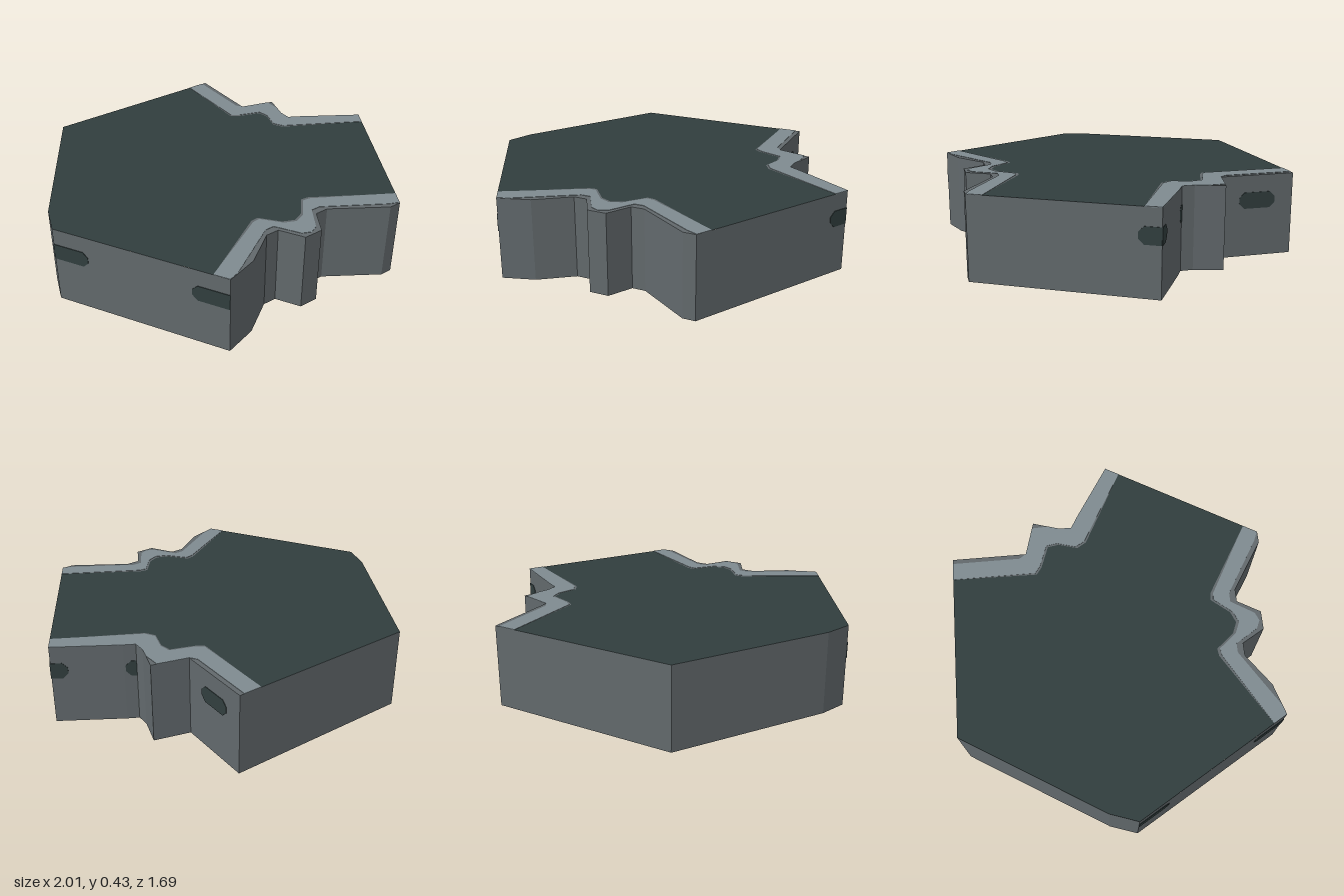
import * as THREE from 'three';
import { mergeGeometries } from 'three/addons/utils/BufferGeometryUtils.js';

const H = 0.43;

// Plan points as [x, z]
const frontNotch = [[-0.525, 0.84], [-0.36, 0.79], [-0.19, 0.67], [-0.12, 0.67], [-0.05, 0.79],
  [0.05, 0.79], [0.12, 0.67], [0.19, 0.67], [0.46, 0.84], [0.525, 0.84]];
const sideNotch = [[1, 0.035], [0.695, -0.155], [0.64, -0.185], [0.64, -0.25], [0.685, -0.395],
  [0.5, -0.445], [0.5, -0.845]];
const outline = [...frontNotch, ...sideNotch, [-0.5, -0.845], [-0.95, -0.11], [-1, 0.035]];

// Inner and outer edges of the pale stripes beside the two notches
const frontInner = [[-0.568, 0.767], [-0.18, 0.55], [-0.14, 0.545], [-0.06, 0.64], [0, 0.665],
  [0.06, 0.64], [0.14, 0.545], [0.18, 0.55], [0.568, 0.767]];
const frontOuter = [[-0.525, 0.838], [-0.47, 0.82], [-0.17, 0.635], [-0.12, 0.635], [-0.045, 0.755], [0, 0.775],
  [0.045, 0.755], [0.12, 0.635], [0.17, 0.635], [0.47, 0.815], [0.525, 0.838]];
const sideInner = [[0.958, 0.107], [0.55, -0.12], [0.52, -0.17], [0.55, -0.27], [0.54, -0.33],
  [0.42, -0.372], [0.38, -0.4], [0.38, -0.845]];
const sideOuter = [[1, 0.035], [0.695, -0.155], [0.64, -0.185], [0.64, -0.25], [0.658, -0.31], [0.655, -0.403],
  [0.5, -0.445], [0.475, -0.48], [0.475, -0.845]];

const shift = (line, dx, dz) => line.map(([x, z], i) =>
  (i === 0 || i === line.length - 1 ? [x, z] : [x + dx, z + dz]));
const shapeOf = (points) => new THREE.Shape(points.map(([x, z]) => new THREE.Vector2(x, z)));
const loop = (a, b) => [...a, ...[...b].reverse()];

// Flat sheet lying at roof height
function sheet(points) {
  return new THREE.ShapeGeometry(shapeOf(points)).rotateX(Math.PI / 2).translate(0, H, 0);
}

// Thin plate showing on both sides of the roof
function plate(points) {
  return new THREE.ExtrudeGeometry(shapeOf(points), { depth: 0.004, bevelEnabled: false })
    .rotateX(Math.PI / 2).translate(0, H + 0.002, 0);
}

// Places a geometry drawn in x (along) and y (up) onto the wall from a to b
function ontoWall(geometry, a, b) {
  return geometry.rotateY(-Math.atan2(b[1] - a[1], b[0] - a[0])).translate(a[0], 0, a[1]);
}

const length = (a, b) => Math.hypot(b[0] - a[0], b[1] - a[1]);

function wall(a, b) {
  const l = length(a, b);
  return ontoWall(new THREE.PlaneGeometry(l, H).translate(l / 2, H / 2, 0), a, b);
}

// Slot mark with chamfered ends; an end cut by a wall edge stays square
function slot(a, b, from, to, chamferStart, chamferEnd) {
  const y0 = 0.255, y1 = 0.34;
  const s = chamferStart ? 0.027 : 0, e = chamferEnd ? 0.027 : 0;
  const pts = [[from + s, y0], [to - e, y0]];
  if (e) pts.push([to, y0 + e], [to, y1 - e]);
  pts.push([to - e, y1], [from + s, y1]);
  if (s) pts.push([from, y1 - s], [from, y0 + s]);
  const g = new THREE.ExtrudeGeometry(shapeOf(pts), { depth: 0.006, bevelEnabled: false });
  return ontoWall(g.translate(0, 0, -0.003), a, b);
}

export function createModel() {
  const group = new THREE.Group();
  const material = (name, color) => {
    const m = new THREE.MeshStandardMaterial({ color, side: THREE.DoubleSide });
    m.name = name;
    return m;
  };
  const grey = material('wall grey', 0x62696c);
  const pale = material('pale grey', 0x7f8b90);
  const dark = material('dark green grey', 0x313e3e);
  const add = (name, geometry, mat) => {
    const mesh = new THREE.Mesh(geometry, mat);
    mesh.name = name;
    group.add(mesh);
  };

  // Side walls, open below
  add('walls', mergeGeometries(outline.map((p, i) => wall(p, outline[(i + 1) % outline.length]))), grey);

  // Roof: dark deck, grey rims along the notches, pale stripes on the rims
  const frontEdge = shift(frontInner, 0, -0.015);
  const sideEdge = shift(sideInner, -0.008, 0.008);
  add('deck', sheet([...frontEdge, ...sideEdge, ...outline.slice(-3)]), dark);
  add('frontRim', sheet(loop(frontEdge, frontNotch)), grey);
  add('sideRim', sheet(loop(sideEdge, sideNotch)), grey);
  add('frontStripe', plate(loop(frontInner, frontOuter)), pale);
  add('sideStripe', plate(loop(sideInner, sideOuter)), pale);

  // Slot marks on the walls
  const leftBack = [-1, 0.035], leftFront = frontNotch[0];
  const rightFront = frontNotch[9], tip = sideNotch[0];
  const lLeft = length(leftBack, leftFront), lRight = length(rightFront, tip);
  const inner = sideNotch[2], lTip = length(tip, inner);
  const slots = [
    slot(leftBack, leftFront, 0, 0.19, false, true),
    slot(leftBack, leftFront, lLeft - 0.19, lLeft, true, false),
    slot(rightFront, tip, lRight - 0.11, lRight, true, false),
    slot(tip, inner, 0, 0.085, false, true),
    slot(tip, inner, lTip - 0.055, lTip, true, false),
    slot(sideNotch[5], sideNotch[6], 0.105, 0.3, true, true),
  ];
  add('slotMarks', mergeGeometries(slots), dark);
  return group;
}
